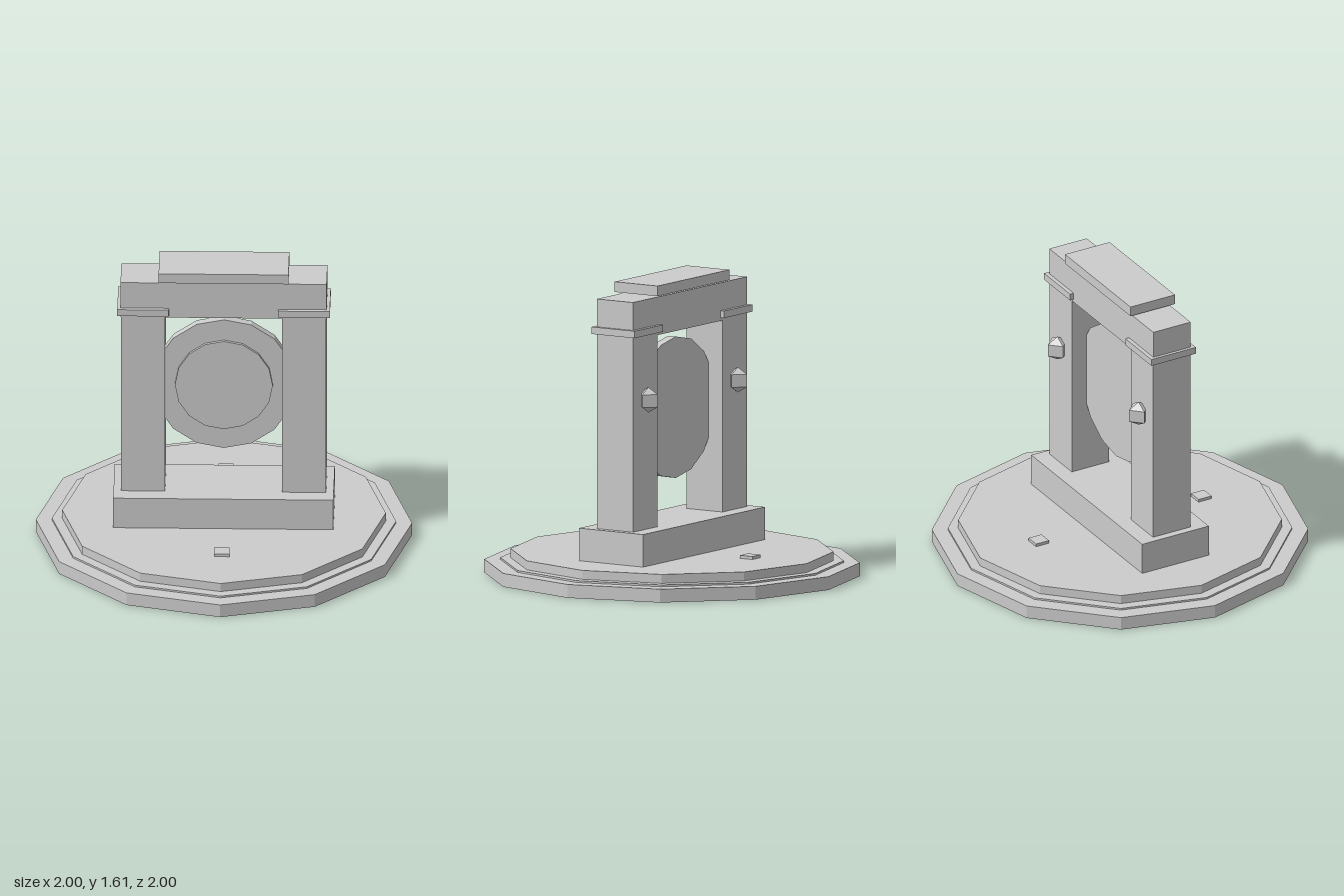
import * as THREE from 'three';

export function createModel() {
  const root = new THREE.Group();
  const mat = new THREE.MeshStandardMaterial({ color: 0xcccccc, flatShading: true });

  const add = (name, geo, x, y, z) => {
    const mesh = new THREE.Mesh(geo, mat);
    mesh.name = name;
    mesh.position.set(x, y, z);
    root.add(mesh);
    return mesh;
  };
  // Box standing between two heights
  const block = (name, w, d, y0, y1, x = 0, z = 0) =>
    add(name, new THREE.BoxGeometry(w, y1 - y0, d), x, (y0 + y1) / 2, z);
  // Twelve-sided step of the platform
  const step = (name, r, y0, y1) =>
    add(name, new THREE.CylinderGeometry(r, r, y1 - y0, 12), 0, (y0 + y1) / 2, 0);
  // Upright sixteen-sided disc facing the front
  const disc = (name, r, z0, z1) =>
    add(name, new THREE.CylinderGeometry(r, r, z1 - z0, 16), 0, 0.9, (z0 + z1) / 2)
      .rotateX(Math.PI / 2);

  // Stepped platform
  step('platformBase', 1, 0, 0.072);
  step('platformTrim', 0.915, 0.072, 0.082);
  step('platformTop', 0.86, 0.082, 0.13);

  // Gate frame
  block('plinth', 1.17, 0.41, 0.13, 0.305);
  block('lintel', 1.096, 0.23, 1.335, 1.54);
  block('topSlab', 0.69, 0.274, 1.55, 1.605);

  // Pillars with collars and faceted knobs on the back
  for (const s of [1, -1]) {
    const side = s > 0 ? 'left' : 'right';
    block(side + 'Pillar', 0.234, 0.23, 0.305, 1.36, s * 0.428);
    block(side + 'Collar', 0.274, 0.274, 1.352, 1.39, s * 0.428);
    add(side + 'Knob', new THREE.SphereGeometry(0.068, 4, 3), s * 0.428, 1.003, -0.135);
  }

  // Hanging disc with a raised front plate
  disc('gongDisc', 0.38, -0.025, 0.025);
  disc('gongPlate', 0.26, 0.02, 0.042);

  // Small floor tiles in front and behind
  for (const z of [0.5, -0.5]) {
    block(z > 0 ? 'frontTile' : 'backTile', 0.08, 0.08, 0.125, 0.146, 0, z);
  }
  return root;
}
